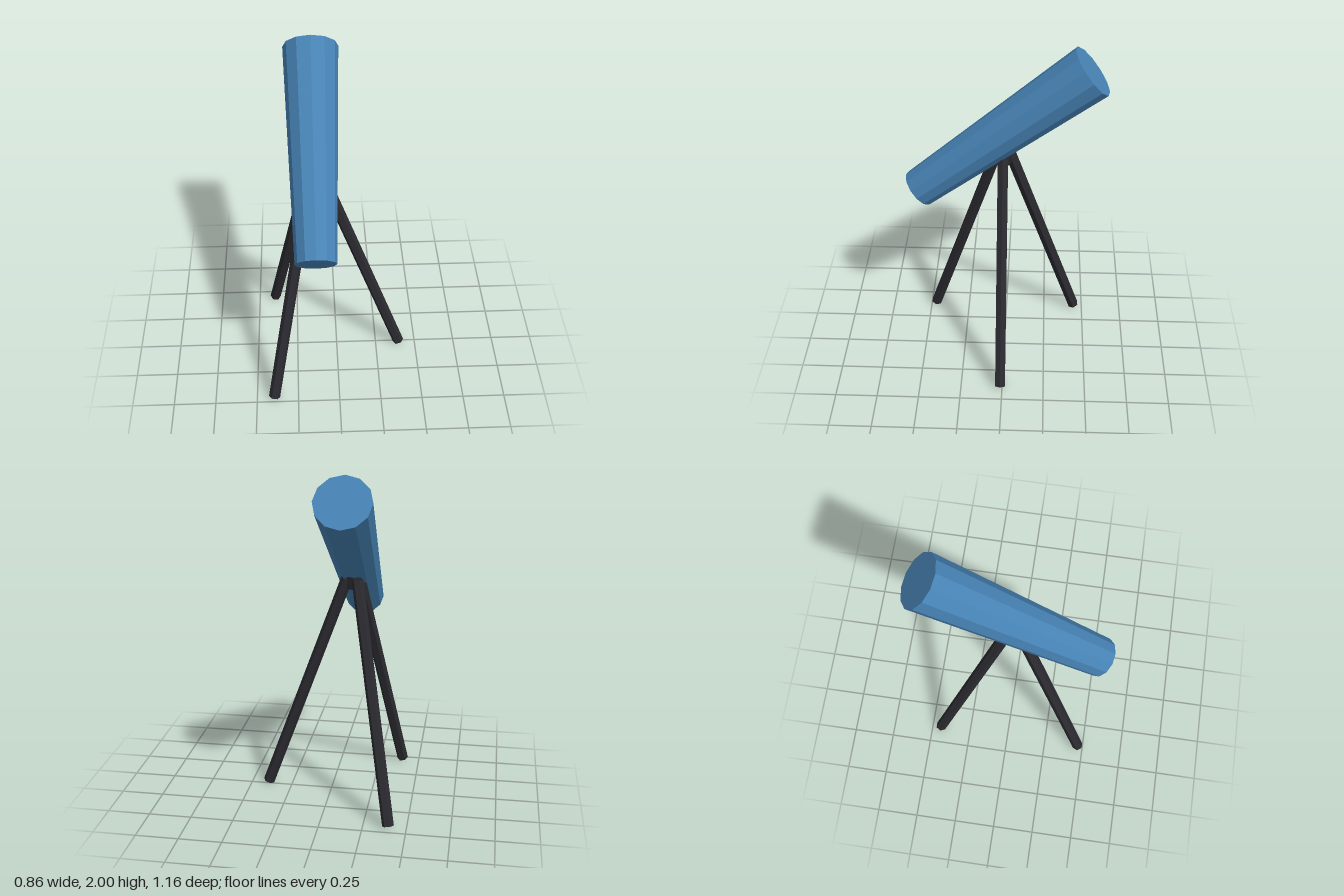
import * as THREE from 'three';

const UP = new THREE.Vector3(0, 1, 0);

// Faceted tapered rod running from point a (radius ra) to point b (radius rb)
function rod(name, a, b, ra, rb, sides, material, spin = 0) {
  const dir = b.clone().sub(a);
  const geometry = new THREE.CylinderGeometry(rb, ra, dir.length(), sides);
  geometry.rotateY(spin);
  const mesh = new THREE.Mesh(geometry, material);
  mesh.name = name;
  mesh.position.copy(a).add(b).multiplyScalar(0.5);
  mesh.quaternion.setFromUnitVectors(UP, dir.normalize());
  return mesh;
}

export function createModel() {
  const model = new THREE.Group();
  model.name = 'telescope';
  const blue = new THREE.MeshStandardMaterial({ color: 0x4682b4, flatShading: true });
  const dark = new THREE.MeshStandardMaterial({ color: 0x2b2a30, flatShading: true });
  const cx = -0.132, cz = 0.012;

  // Tapered tube, wide end up and to the back
  model.add(rod('tube',
    new THREE.Vector3(cx, 1.09, 0.513),
    new THREE.Vector3(cx, 1.878, -0.48),
    0.116, 0.16, 12, blue));

  // Small hub joining the legs to the tube
  model.add(rod('hub',
    new THREE.Vector3(cx, 1.28, cz),
    new THREE.Vector3(cx, 1.38, cz),
    0.045, 0.055, 8, dark));

  // Three splayed hexagonal legs
  const legs = new THREE.Group();
  legs.name = 'tripod';
  legs.position.set(cx, 0, cz);
  for (let i = 0; i < 3; i++) {
    const leg = new THREE.Group();
    leg.name = `leg${i + 1}`;
    leg.rotation.y = (i * Math.PI * 2) / 3;
    leg.add(rod('legRod',
      new THREE.Vector3(0.527, 0.012, 0),
      new THREE.Vector3(0.045, 1.335, 0),
      0.034, 0.034, 6, dark, Math.PI / 2));
    legs.add(leg);
  }
  model.add(legs);
  return model;
}
